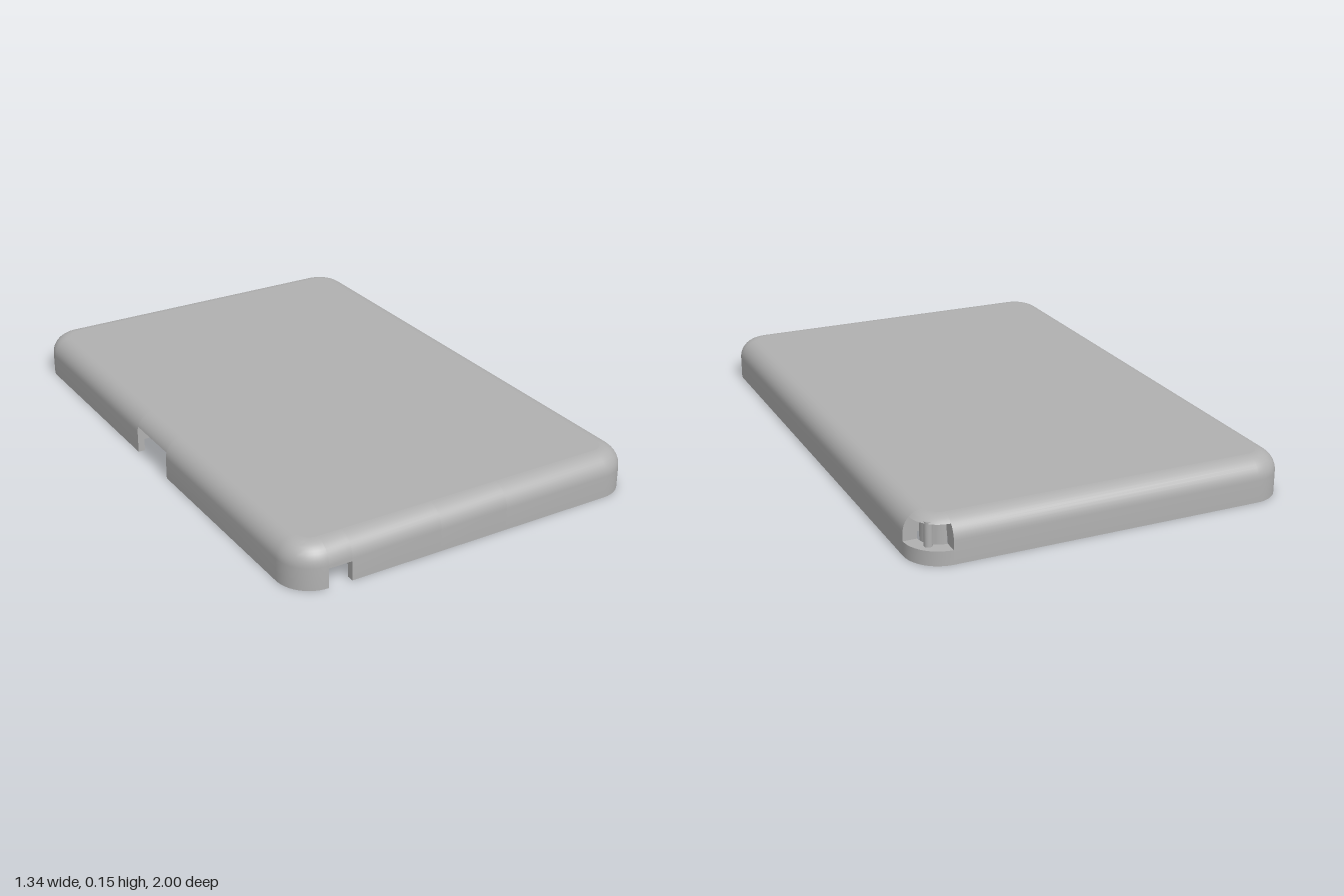
import * as THREE from 'three';
import { toCreasedNormals } from 'three/addons/utils/BufferGeometryUtils.js';

const R = 0.12, CX = 0.55, CZ = 0.88; // plan corner radius and corner centres
const H = 0.15, F = 0.07, CEIL = 0.13; // height, top fillet, ceiling level

// Wall cross-section as [inset, y]: up the outside, over the fillet, down the stepped inside
const outside = [[0, 0]];
for (let i = 0; i <= 10; i++) {
  const a = (i / 10) * Math.PI / 2;
  outside.push([F - F * Math.cos(a), H - F + F * Math.sin(a)]);
}
const full = [...outside, [F, CEIL], [F, 0.075], [0.048, 0.075], [0.048, 0.045], [0.025, 0.045], [0.025, 0]];
const recessed = [...outside, [F, CEIL], [F, 0.08], [0.025, 0.08], [0.025, 0]];

// Keep the part of a section above (side 1) or below (side -1) a level
function clip(section, level, side) {
  const out = [];
  section.forEach((p, i) => {
    const q = section[(i + 1) % section.length];
    const a = (p[1] - level) * side, b = (q[1] - level) * side;
    if (a >= 0) out.push(p);
    if (a * b < 0) out.push([p[0] + (q[0] - p[0]) * a / (a - b), level]);
  });
  return out;
}

// Stations around the outline: a centre and an outward direction
const at = (x, z, deg) => ({ x, z, nx: Math.cos(deg * Math.PI / 180), nz: Math.sin(deg * Math.PI / 180) });
const corner = (x, z, start) => Array.from({ length: 13 }, (_, i) => at(x, z, start + i * 7.5));
const front = x => at(x, CZ, 90);
const side = z => at(-CX, z, 180);

// Sweep a closed section along stations and cap both ends
function sweep(stations, section) {
  const pos = [], n = section.length;
  const put = (s, [d, y]) => pos.push(s.x + s.nx * (R - d), y, s.z + s.nz * (R - d));
  for (let i = 0; i < stations.length - 1; i++) {
    const s = stations[i], t = stations[i + 1];
    for (let j = 0; j < n; j++) {
      const p = section[j], q = section[(j + 1) % n];
      put(s, p); put(s, q); put(t, p);
      put(s, q); put(t, q); put(t, p);
    }
  }
  const flat = section.map(p => new THREE.Vector2(p[0], p[1]));
  for (const tri of THREE.ShapeUtils.triangulateShape(flat, [])) {
    const ccw = THREE.ShapeUtils.area(tri.map(k => flat[k])) > 0 ? tri : [...tri].reverse();
    ccw.forEach(k => put(stations[0], section[k]));
    [...ccw].reverse().forEach(k => put(stations[stations.length - 1], section[k]));
  }
  const g = new THREE.BufferGeometry();
  g.setAttribute('position', new THREE.Float32BufferAttribute(pos, 3));
  return toCreasedNormals(g, 0.5);
}

export function createModel() {
  const model = new THREE.Group();
  model.name = 'caseCover';
  const grey = new THREE.MeshStandardMaterial({ color: 0xb0b0b0 });
  grey.name = 'grey plastic';
  const add = (name, geometry) => {
    const mesh = new THREE.Mesh(geometry, grey);
    mesh.name = name;
    model.add(mesh);
    return mesh;
  };

  // Stepped perimeter wall, interrupted by the openings
  add('rightWall', sweep([at(CX, -CZ, 0), ...corner(CX, CZ, 0), front(0.13)], full));
  add('thumbRecess', sweep([front(0.13), front(-0.13)], recessed));
  add('frontWall', sweep([front(-0.13), front(-0.465)], full));
  add('frontNotch', sweep([front(-0.465), front(-0.55)], clip(full, 0.07, 1)));
  add('frontCornerWall', sweep([...corner(-CX, CZ, 90), side(0.11)], full));
  add('sideNotch', sweep([side(0.11), side(-0.12)], clip(full, 0.1, 1)));
  add('backWall', sweep([side(-0.12), ...corner(-CX, -CZ, 180), at(CX, -CZ, 270)], full));

  // Strap corner: open band between lower and upper rims, with a post
  const strap = corner(CX, -CZ, 270);
  add('strapLowerRim', sweep(strap, clip(full, 0.05, -1)));
  add('strapUpperRim', sweep(strap, clip(full, CEIL, 1)));
  add('strapInnerWall', sweep(strap, [[0.055, 0.045], [0.055, 0.135], [F, 0.135], [F, 0.045]]));
  const post = add('strapPost', new THREE.CylinderGeometry(0.014, 0.014, 0.09, 16));
  post.position.set(CX + 0.06, 0.09, -CZ - 0.06);

  // Flat panel closing the top
  const r = R - F, panel = new THREE.Shape();
  panel.absarc(CX, CZ, r, 0, Math.PI / 2);
  panel.absarc(-CX, CZ, r, Math.PI / 2, Math.PI);
  panel.absarc(-CX, -CZ, r, Math.PI, Math.PI * 1.5);
  panel.absarc(CX, -CZ, r, Math.PI * 1.5, Math.PI * 2);
  const top = new THREE.ExtrudeGeometry(panel, { depth: H - CEIL, bevelEnabled: false, curveSegments: 12 });
  add('topPanel', top.rotateX(-Math.PI / 2).translate(0, CEIL, 0));

  return model;
}
